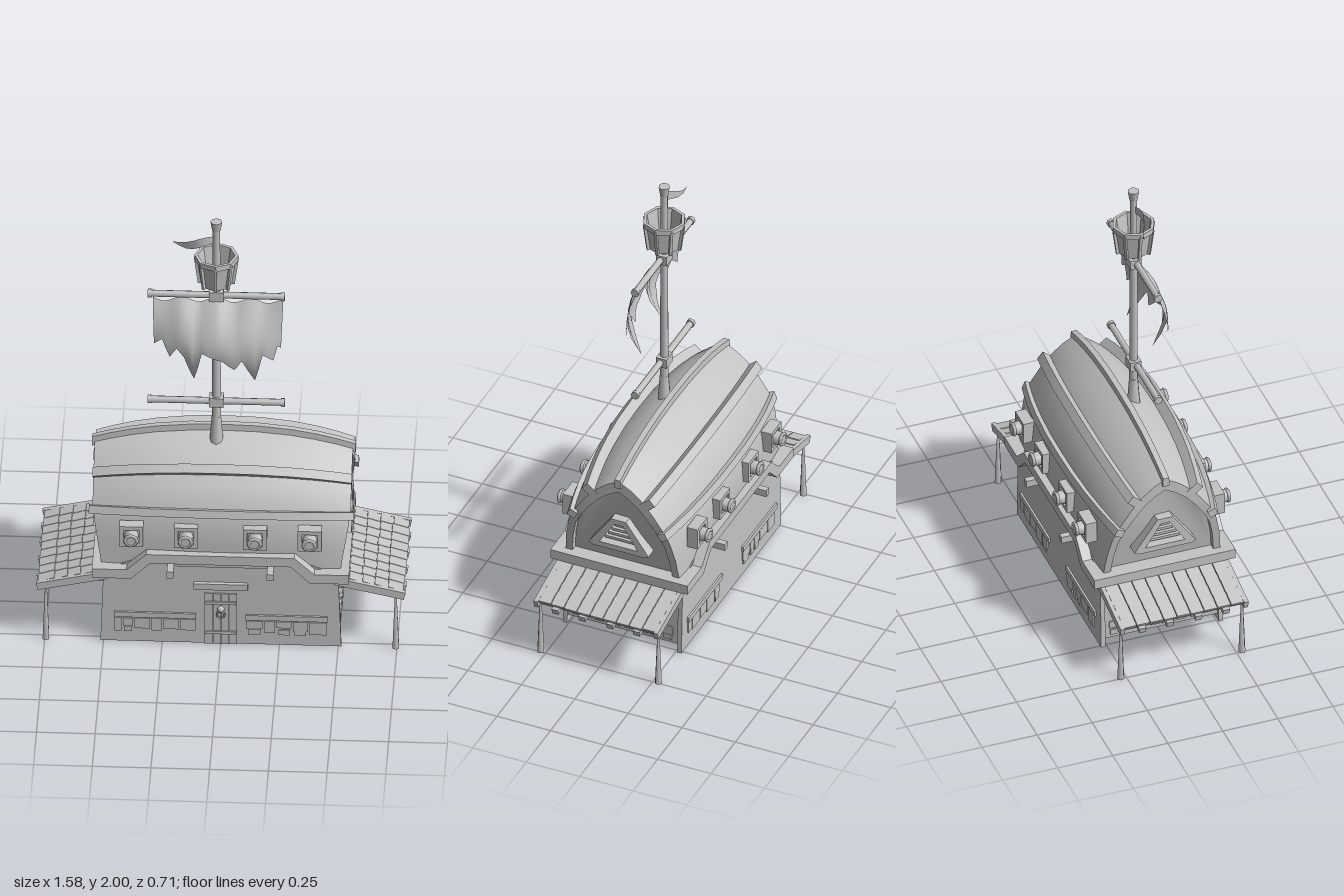
import * as THREE from 'three';
import { toCreasedNormals } from 'three/addons/utils/BufferGeometryUtils.js';

const grey = new THREE.MeshStandardMaterial({ color: 0xc4c4c4, side: THREE.DoubleSide });
grey.name = 'weathered grey';

let seed = 7;
const rand = () => (seed = (seed * 16807) % 2147483647) / 2147483647;
const lerp = THREE.MathUtils.lerp;

function add(parent, name, geo, x = 0, y = 0, z = 0) {
  const m = new THREE.Mesh(geo, grey);
  m.name = name;
  m.position.set(x, y, z);
  parent.add(m);
  return m;
}
const box = (parent, name, w, h, d, x, y, z) => add(parent, name, new THREE.BoxGeometry(w, h, d), x, y, z);
const group = (parent, name) => {
  const g = new THREE.Group();
  g.name = name;
  parent.add(g);
  return g;
};

// Joins closed cross-section rings of [x, y, z] points, with both ends capped
function loft(rings, crease = 0.6) {
  const n = rings[0].length, idx = [];
  for (let r = 0; r < rings.length - 1; r++)
    for (let i = 0; i < n; i++) {
      const a = r * n + i, b = r * n + (i + 1) % n;
      idx.push(a, b, a + n, b, b + n, a + n);
    }
  const last = (rings.length - 1) * n;
  for (let i = 1; i < n - 1; i++) idx.push(0, i + 1, i, last, last + i, last + i + 1);
  const g = new THREE.BufferGeometry();
  g.setAttribute('position', new THREE.Float32BufferAttribute(rings.flat(2), 3));
  g.setIndex(idx);
  return toCreasedNormals(g, crease);
}

// Upturned hull: half sections [y, z] amidships and at the ends
const MID = [[.39, .285], [.5, .29], [.6, .285], [.68, .262], [.76, .215], [.83, .15], [.885, .075], [.92, 0]];
const END = [[.39, .265], [.49, .255], [.58, .235], [.645, .205], [.71, .16], [.77, .11], [.815, .055], [.845, 0]];
function hullPoint(x, s) {
  const k = Math.pow(Math.abs(x) / .54, 2.3), i = Math.min(Math.floor(s), 6), f = s - i;
  const at = c => lerp(lerp(MID[i][c], MID[i + 1][c], f), lerp(END[i][c], END[i + 1][c], f), k);
  return [at(0), at(1)];
}
function hullRing(x, scale = 1, inset = 0) {
  const half = MID.map((_, s) => {
    const [y0, z] = hullPoint(x, s), y = .39 + (y0 - .39) * scale;
    const reach = (.51 + .04 * Math.min((y - .39) / .25, 1)) / .54;
    return [x * reach - Math.sign(x) * inset, y, z * scale];
  });
  return [...half, ...half.slice(0, -1).reverse().map(([x, y, z]) => [x, y, -z])];
}
const STATIONS = [-.54, -.47, -.38, -.28, -.14, 0, .14, .28, .38, .47, .54];

// Rail sweeping along the hull, standing out from its skin
function rail(s, side, width, depth, reach) {
  return loft(STATIONS.map(x0 => {
    const x = x0 * reach / .54;
    const [y, z] = hullPoint(x, s), [ya, za] = hullPoint(x, s - .3), [yb, zb] = hullPoint(x, s + .3);
    const l = Math.hypot(yb - ya, zb - za), ty = (yb - ya) / l, tz = (zb - za) / l;
    return [[-1, -.015], [1, -.015], [1, depth], [-1, depth]].map(([a, n]) =>
      [x, y + a * width / 2 * ty - n * tz, side * (z + a * width / 2 * tz + n * ty)]);
  }), .3);
}

// Thin raised bricks along a wall that faces local +z
function bricks(parent, x0, x1, z) {
  for (let x = x0; x < x1 - .03;) {
    const w = Math.min(.035 + rand() * .05, x1 - x), h = .03 + rand() * .04;
    box(parent, 'brick', w - .006, h, .008, x + w / 2, .12 - h / 2, z);
    if (h < .05) box(parent, 'brick', w * .7, .025, .008, x + w / 2, .065, z);
    x += w;
  }
}

function awning(parent) {
  const a = group(parent, 'awning');
  const slope = group(a, 'awningSlope');
  slope.position.set(.49, .345, 0);
  slope.rotation.z = -.22;
  for (let r = 0; r < 5; r++)
    for (let i = 0; i < 9; i++) {
      const t = box(slope, 'shingle', .066 + rand() * .012, .011, .058, .035 + r * .056, .004, -.244 + i * .061);
      t.rotation.z = -.08;
    }
  for (const z of [-.19, -.065, .065, .19]) box(slope, 'awningBeam', .31, .025, .03, .152, -.02, z);
  for (const z of [-.28, .28]) box(slope, 'awningEdge', .305, .035, .02, .15, -.008, z);
  box(slope, 'awningCrossBeam', .02, .02, .55, .265, -.022, 0);
  for (const z of [-.275, .275]) add(a, 'awningPost', new THREE.CylinderGeometry(.005, .016, .26, 6), .745, .13, z);
}

function gableEnd(parent) {
  const g = group(parent, 'gableEnd');
  const shape = new THREE.Shape([[-.14, .49], [-.12, .48], [.12, .48], [.14, .49], [.035, .64], [-.035, .64]].map(p => new THREE.Vector2(...p)));
  shape.holes.push(new THREE.Path([[-.09, .505], [.09, .505], [.02, .615], [-.02, .615]].map(p => new THREE.Vector2(...p))));
  add(g, 'gableWindowFrame', new THREE.ExtrudeGeometry(shape, { depth: .055, bevelEnabled: false }), .495, 0, 0).rotation.y = Math.PI / 2;
  for (let i = 0; i < 4; i++) box(g, 'gableLouvre', .03, .012, .15 - i * .032, .515, .525 + i * .024, 0);
  // End wall with bricks and beam ends
  box(g, 'endWall', .02, .325, .53, .49, .1975, 0);
  box(g, 'endTrim', .055, .045, .64, .52, .3675, 0);
  for (const z of [-.18, -.06, .06, .18]) box(g, 'wallPeg', .03, .03, .03, .51, .26, z);
  const face = group(g, 'endBricks');
  face.rotation.y = Math.PI / 2;
  bricks(face, -.24, .24, .503);
}

function longSide(parent) {
  const g = group(parent, 'longSide');
  // Wall, slightly wider at the foot
  const wall = new THREE.Shape([[-.513, 0], [.513, 0], [.5, .36], [.31, .44], [-.31, .44], [-.5, .36]].map(p => new THREE.Vector2(...p)));
  add(g, 'longWall', new THREE.ExtrudeGeometry(wall, { depth: .02, bevelEnabled: false }), 0, 0, .257);
  // Stepped trim
  const band = [[-.545, .345], [-.38, .345], [-.3, .425], [.3, .425], [.38, .345], [.545, .345],
    [.545, .39], [.4, .39], [.315, .47], [-.315, .47], [-.4, .39], [-.545, .39]];
  add(g, 'steppedTrim', new THREE.ExtrudeGeometry(new THREE.Shape(band.map(p => new THREE.Vector2(...p))),
    { depth: .055, bevelEnabled: false }), 0, 0, .265);
  for (const x of [-.213, .213]) box(g, 'beamEnd', .028, .032, .08, x, .388, .31);
  // Gun ports
  for (const x of [-.38, -.147, .147, .38]) {
    const p = group(g, 'gunPort');
    p.position.set(x, .555, .29);
    for (const s of [-1, 1]) {
      box(p, 'portJamb', .018, .1, .05, s * .042, 0, 0);
      box(p, 'portSill', .1, .018, .05, 0, s * .042, 0);
    }
    box(p, 'portBack', .08, .08, .02, 0, 0, 0);
    add(p, 'cannon', new THREE.CylinderGeometry(.028, .033, .07, 8), 0, 0, .025).rotation.x = Math.PI / 2;
    add(p, 'muzzleRing', new THREE.TorusGeometry(.026, .008, 5, 8), 0, 0, .055);
  }
  // Brickwork
  for (const s of [-1, 1]) {
    box(g, 'brickLedge', .35, .025, .012, s * .28, .138, .28);
    bricks(g, s * .28 - .175, s * .28 + .175, .279);
  }
  return g;
}

function frontDoor(parent) {
  const g = group(parent, 'door');
  for (let i = 0; i < 4; i++) box(g, 'doorPlank', .033, .255, .032, -.0525 + i * .035, .1275, .267);
  for (const y of [.06, .21]) box(g, 'doorStrap', .13, .014, .008, 0, y, .285);
  box(g, 'lintel', .23, .03, .025, 0, .296, .283);
  add(g, 'knockerPlate', new THREE.SphereGeometry(.016, 8, 6), 0, .178, .285);
  add(g, 'knockerRing', new THREE.TorusGeometry(.017, .004, 5, 10), 0, .155, .291);
}

function rigging(parent) {
  const g = group(parent, 'mastAndSail');
  g.position.set(-.03, 0, .05);
  add(g, 'mast', new THREE.CylinderGeometry(.016, .02, 1.1, 8), 0, 1.43, 0);
  add(g, 'mastFoot', new THREE.CylinderGeometry(.02, .032, .16, 8), 0, .93, 0);
  add(g, 'mastCap', new THREE.CylinderGeometry(.025, .018, .045, 8), 0, 1.978, 0);
  for (const y of [1.09, 1.63]) {
    add(g, 'yard', new THREE.CylinderGeometry(.015, .015, .58, 8), 0, y, .005).rotation.z = Math.PI / 2;
    box(g, 'yardCollar', .062, .045, .05, 0, y, 0);
    for (const s of [-1, 1]) add(g, 'yardTip', new THREE.CylinderGeometry(.019, .019, .016, 8), s * .284, y, .005).rotation.z = Math.PI / 2;
  }
  // Lookout basket
  const profile = [[0, 1.69], [.068, 1.69], [.083, 1.8], [.094, 1.805], [.094, 1.83], [.08, 1.83], [.06, 1.71], [0, 1.71]];
  add(g, 'lookoutBasket', toCreasedNormals(new THREE.LatheGeometry(profile.map(p => new THREE.Vector2(...p)), 8), .3));
  for (let i = 0; i < 8; i++) {
    const a = i * Math.PI / 4, pivot = group(g, 'basketPost');
    pivot.rotation.y = a;
    box(pivot, 'basketPostBoard', .012, .13, .016, 0, 1.753, .079).rotation.x = .13;
  }

  // Torn sail: the hem is a list of [x, y], the cloth bellies forward
  const hem = [[-.255, 1.41], [-.22, 1.44], [-.19, 1.36], [-.16, 1.41], [-.13, 1.37], [-.092, 1.23], [-.055, 1.4], [0, 1.37],
    [.03, 1.36], [.08, 1.31], [.11, 1.36], [.165, 1.215], [.195, 1.38], [.24, 1.34], [.255, 1.41], [.27, 1.4]];
  const cols = (hem.length - 1) * 2, rows = 9;
  const sail = new THREE.PlaneGeometry(1, 1, cols, rows), p = sail.attributes.position;
  for (let i = 0; i < p.count; i++) {
    const c = i % (cols + 1), v = Math.floor(i / (cols + 1)) / rows;
    const j = Math.min(Math.floor(c / 2), hem.length - 2), f = c / 2 - j;
    const x = lerp(hem[j][0], hem[j + 1][0], f), u = x / .27;
    const top = 1.612 + .012 * Math.cos(x * 45), y = lerp(top, lerp(hem[j][1], hem[j + 1][1], f), v);
    const drop = Math.min((top - y) / .43, 1);
    p.setXYZ(i, x * (1 + .06 * (1 - drop)), y, .014 + .105 * Math.sin(Math.PI * drop) * (.35 + .65 * (1 - u * u)));
  }
  sail.computeVertexNormals();
  add(g, 'tornSail', sail);

  // Pennant
  const flag = new THREE.PlaneGeometry(1, 1, 6, 1), q = flag.attributes.position;
  for (let i = 0; i < q.count; i++) {
    const t = (i % 7) / 6, wave = .012 * Math.sin(t * 6);
    q.setXYZ(i, -.01 - .18 * t, 1.925 - .04 * t + wave - (i > 6 ? .045 * Math.sin(Math.PI * Math.min(.25 + t * .75, 1)) : 0), .02 * Math.sin(t * 5));
  }
  flag.computeVertexNormals();
  add(g, 'pennant', flag);
}

export function createModel() {
  const model = new THREE.Group();
  model.name = 'shipTavern';

  // Upturned hull with recessed gables
  const rings = [hullRing(-.54, .88, .03), hullRing(-.54, .88), ...STATIONS.map(x => hullRing(x)), hullRing(.54, .88), hullRing(.54, .88, .03)];
  add(model, 'hullRoof', loft(rings));
  add(model, 'ridgeBeam', loft(STATIONS.map(x0 => {
    const x = x0 * 1.04, y = hullPoint(x, 7)[0];
    return [[-.02, -.016], [.022, -.013], [.022, .013], [-.02, .016]].map(([dy, z]) => [x, y + dy, z]);
  }), .3));
  for (const s of [-1, 1]) {
    add(model, 'upperRail', rail(4.7, s, .04, .045, .552));
    add(model, 'lowerRail', rail(2.7, s, .035, .022, .565));
  }

  // Lower house, open underneath
  box(model, 'deck', .98, .02, .54, 0, .375, 0);
  longSide(model);
  longSide(model).rotation.y = Math.PI;
  frontDoor(model);
  for (const turn of [0, Math.PI]) {
    const end = group(model, 'houseEnd');
    end.rotation.y = turn;
    gableEnd(end);
    awning(end);
  }

  rigging(model);
  return model;
}
